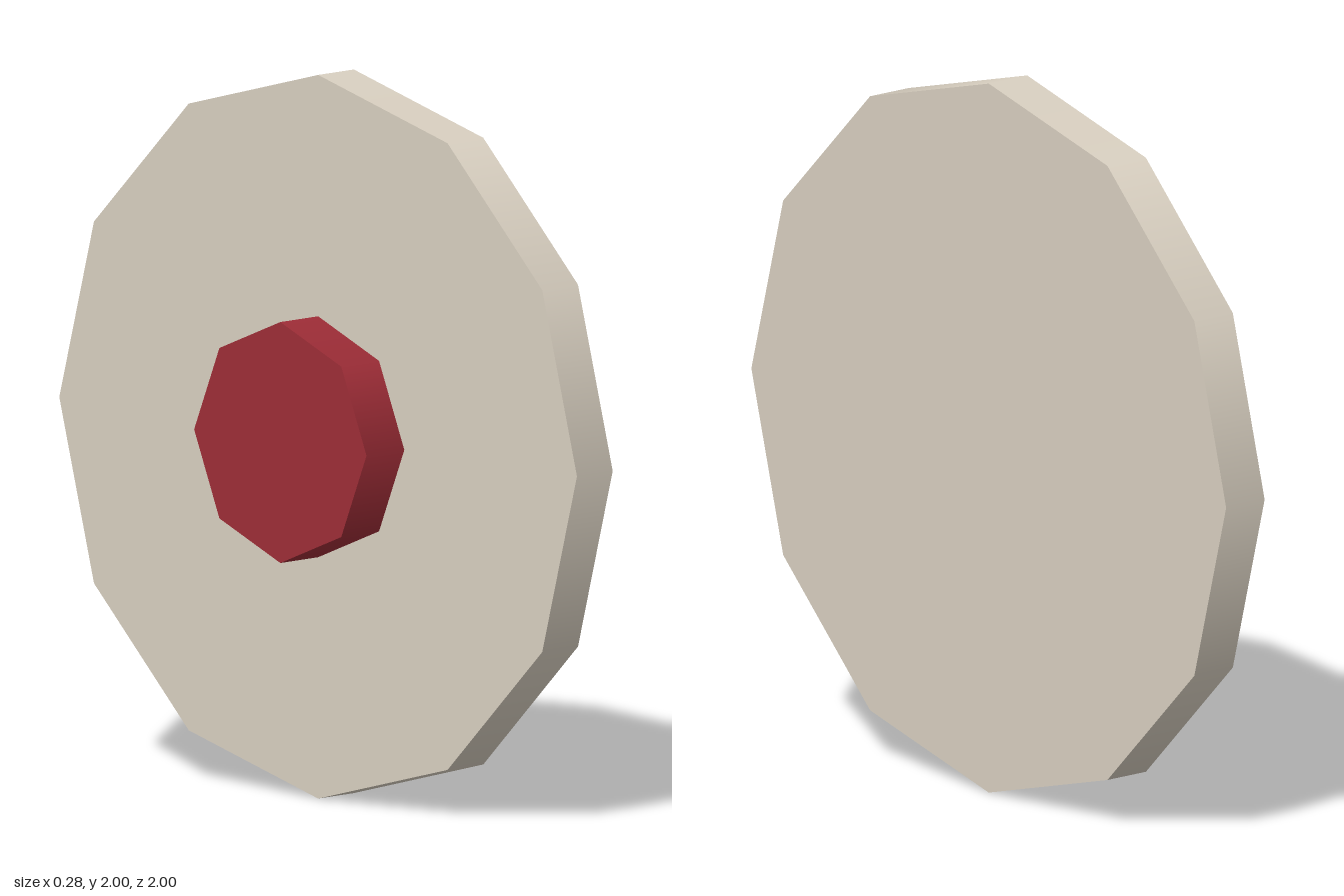
import * as THREE from 'three';

const cream = new THREE.MeshStandardMaterial({ name: 'cream', color: 0xd9d0c1 });
const red = new THREE.MeshStandardMaterial({ name: 'red', color: 0x9e2d37 });

// Upright disc with its axis along x, spanning x0 to x1
function disc(name, radius, x0, x1, sides, material) {
  const geometry = new THREE.CylinderGeometry(radius, radius, x1 - x0, sides);
  geometry.rotateZ(-Math.PI / 2);
  const mesh = new THREE.Mesh(geometry, material);
  mesh.name = name;
  mesh.position.set((x0 + x1) / 2, 1, 0);
  return mesh;
}

export function createModel() {
  const group = new THREE.Group();
  group.name = 'wheel';
  // Twelve-sided plate and the smaller eight-sided hub on its right side
  group.add(disc('plate', 1, 0.004, 0.142, 12, cream));
  group.add(disc('hub', 0.333, -0.142, 0.004, 8, red));
  return group;
}
